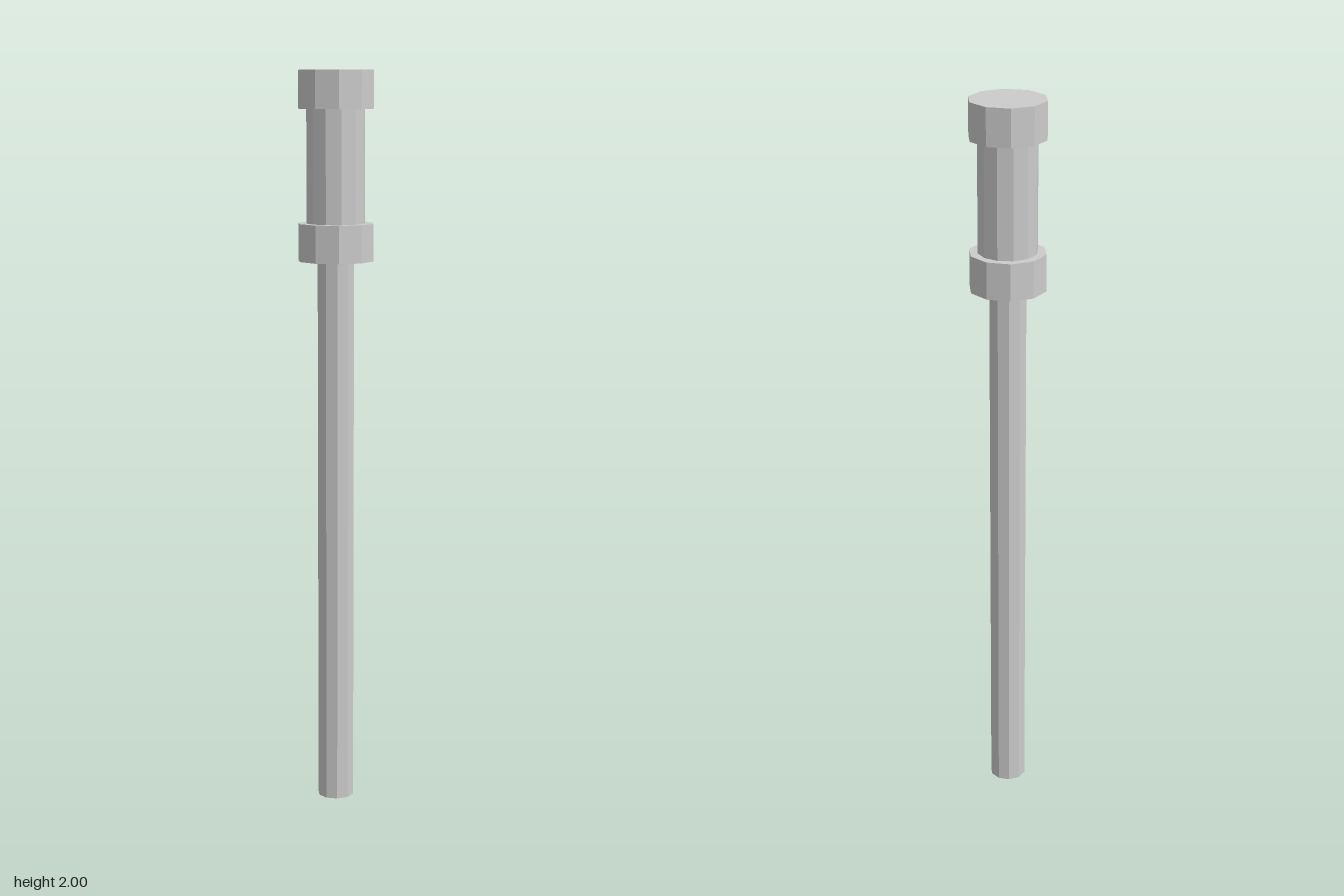
import * as THREE from 'three';

export function createModel() {
  const group = new THREE.Group();
  const material = new THREE.MeshStandardMaterial({ color: 0xcccccc, flatShading: true });

  // Faceted upright cylinder spanning bottom..top
  function addPrism(name, radius, bottom, top, sides) {
    const geometry = new THREE.CylinderGeometry(radius, radius, top - bottom, sides);
    const mesh = new THREE.Mesh(geometry, material);
    mesh.name = name;
    mesh.position.y = (bottom + top) / 2;
    group.add(mesh);
  }

  addPrism('shaft', 0.05, 0, 1.5, 10);
  addPrism('lowerCollar', 0.103, 1.5, 1.6, 10);
  addPrism('grip', 0.079, 1.6, 1.9, 12);
  addPrism('upperCollar', 0.103, 1.9, 2, 10);

  return group;
}
